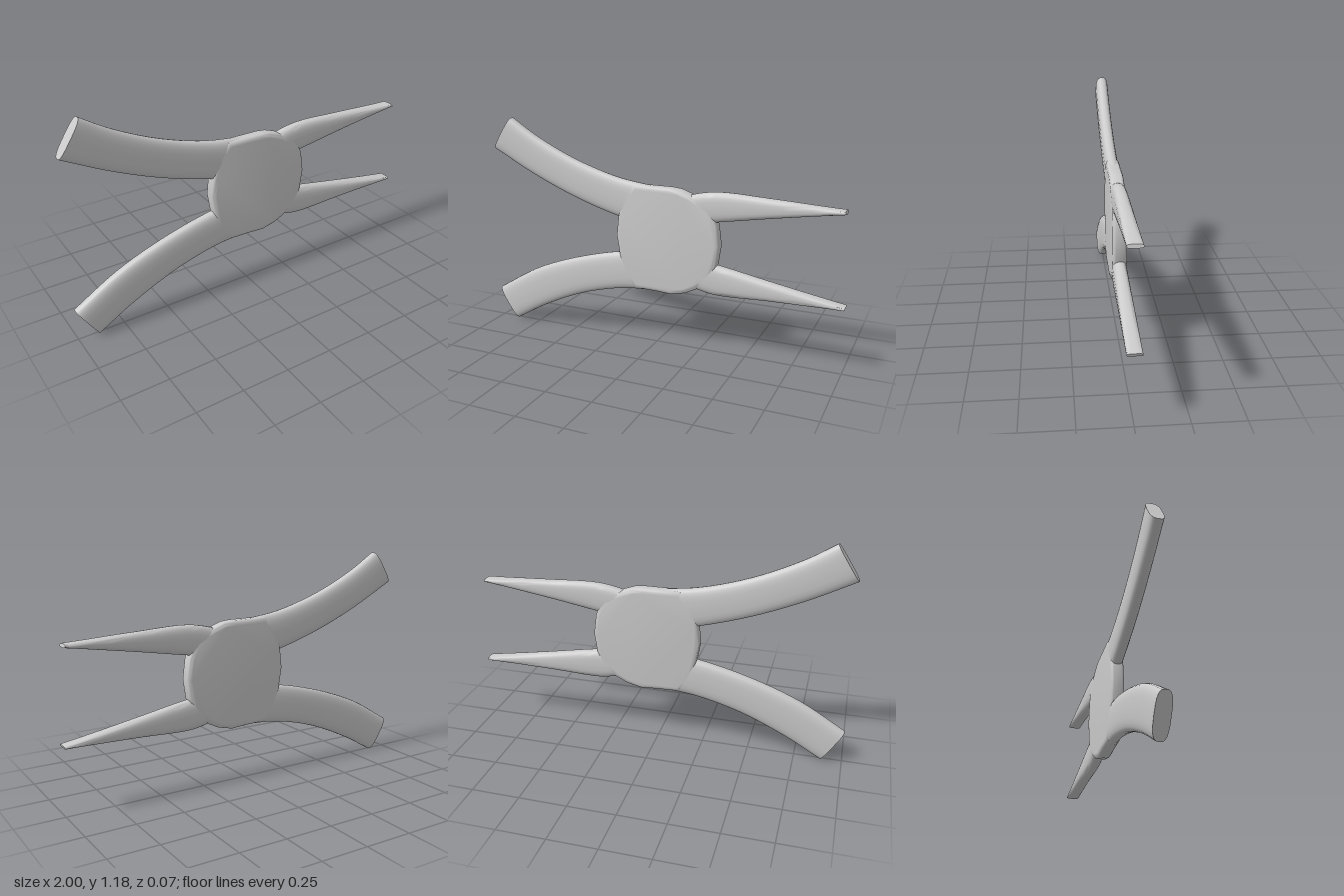
import * as THREE from 'three';
import { toCreasedNormals } from 'three/addons/utils/BufferGeometryUtils.js';

const HALF = 0.036; // half thickness of the whole tool
const MID = 0.589;  // height of the pivot
const material = new THREE.MeshStandardMaterial({ color: 0xcccccc, roughness: 0.7 });

const curve = (pts) => new THREE.CatmullRomCurve3(pts.map(([x, y]) => new THREE.Vector3(x, y, 0)));

// Rounded bar swept between an upper and a lower edge curve, both running left to right
function bar(name, upper, lower, power, steps = 20, sides = 24) {
  const top = curve(upper), bottom = curve(lower);
  const pos = [], index = [];
  const soft = (v) => Math.sign(v) * Math.pow(Math.abs(v), 2 / power);
  for (let i = 0; i <= steps; i++) {
    const a = top.getPoint(i / steps), b = bottom.getPoint(i / steps);
    const c = a.clone().add(b).multiplyScalar(0.5);
    const across = a.sub(b).multiplyScalar(0.5);
    for (let j = 0; j < sides; j++) {
      const t = (j / sides) * Math.PI * 2;
      const p = c.clone().addScaledVector(across, soft(Math.cos(t)));
      pos.push(p.x, p.y, HALF * soft(Math.sin(t)));
    }
  }
  for (let i = 0; i < steps; i++) {
    for (let j = 0; j < sides; j++) {
      const k = (j + 1) % sides, r = i * sides, s = r + sides;
      index.push(r + j, r + k, s + j, r + k, s + k, s + j);
    }
  }
  // flat end caps
  const last = steps * sides;
  for (let j = 1; j < sides - 1; j++) {
    index.push(0, j + 1, j, last, last + j, last + j + 1);
  }
  const geo = new THREE.BufferGeometry();
  geo.setAttribute('position', new THREE.Float32BufferAttribute(pos, 3));
  geo.setIndex(index);
  const mesh = new THREE.Mesh(toCreasedNormals(geo, 0.9), material);
  mesh.name = name;
  return mesh;
}

// Flat pivot plate with softened rim
function hub() {
  const outline = [
    [-0.215, 0.69], [-0.226, 0.59], [-0.21, 0.49], [-0.19, 0.38], [-0.12, 0.305],
    [0, 0.302], [0.09, 0.296], [0.17, 0.315], [0.23, 0.345], [0.31, 0.41],
    [0.337, 0.485], [0.352, 0.59], [0.337, 0.70], [0.30, 0.79], [0.19, 0.845],
    [0.13, 0.866], [0.08, 0.871], [0, 0.871], [-0.12, 0.872], [-0.19, 0.80],
  ];
  const shape = new THREE.Shape(outline.map(([x, y]) => new THREE.Vector2(x, y)));
  const bevel = 0.016;
  const geo = new THREE.ExtrudeGeometry(shape, {
    depth: 2 * (HALF - bevel), bevelEnabled: true, bevelThickness: bevel,
    bevelSize: 0.025, bevelOffset: -0.025, bevelSegments: 4,
  });
  geo.translate(0, 0, bevel - HALF);
  const mesh = new THREE.Mesh(toCreasedNormals(geo, 0.7), material);
  mesh.name = 'pivotPlate';
  return mesh;
}

export function createModel() {
  const group = new THREE.Group();
  group.name = 'pliers';
  group.add(hub());

  // curved handles
  group.add(bar('upperHandle',
    [[-0.875, 1.18], [-0.72, 1.085], [-0.48, 0.975], [-0.22, 0.898], [0, 0.868]],
    [[-0.988, 1.005], [-0.74, 0.878], [-0.48, 0.77], [-0.22, 0.69], [-0.03, 0.65]], 3));
  group.add(bar('lowerHandle',
    [[-1, 0.18], [-0.76, 0.32], [-0.5, 0.42], [-0.22, 0.49], [-0.03, 0.51]],
    [[-0.888, 0.003], [-0.7, 0.11], [-0.45, 0.22], [-0.2, 0.285], [0, 0.302]], 3));

  // tapering jaws
  group.add(bar('upperJaw',
    [[0.1, 0.81], [0.2, 0.846], [0.33, 0.869], [0.6, 0.86], [0.97, 0.839]],
    [[0.1, 0.68], [0.2, 0.695], [0.335, 0.715], [0.6, 0.761], [0.975, 0.822]], 3));
  group.add(bar('lowerJaw',
    [[0.1, 0.50], [0.2, 0.50], [0.337, 0.484], [0.6, 0.436], [1, 0.362]],
    [[0.1, 0.37], [0.22, 0.345], [0.33, 0.325], [0.6, 0.334], [0.995, 0.347]], 3));
  return group;
}
